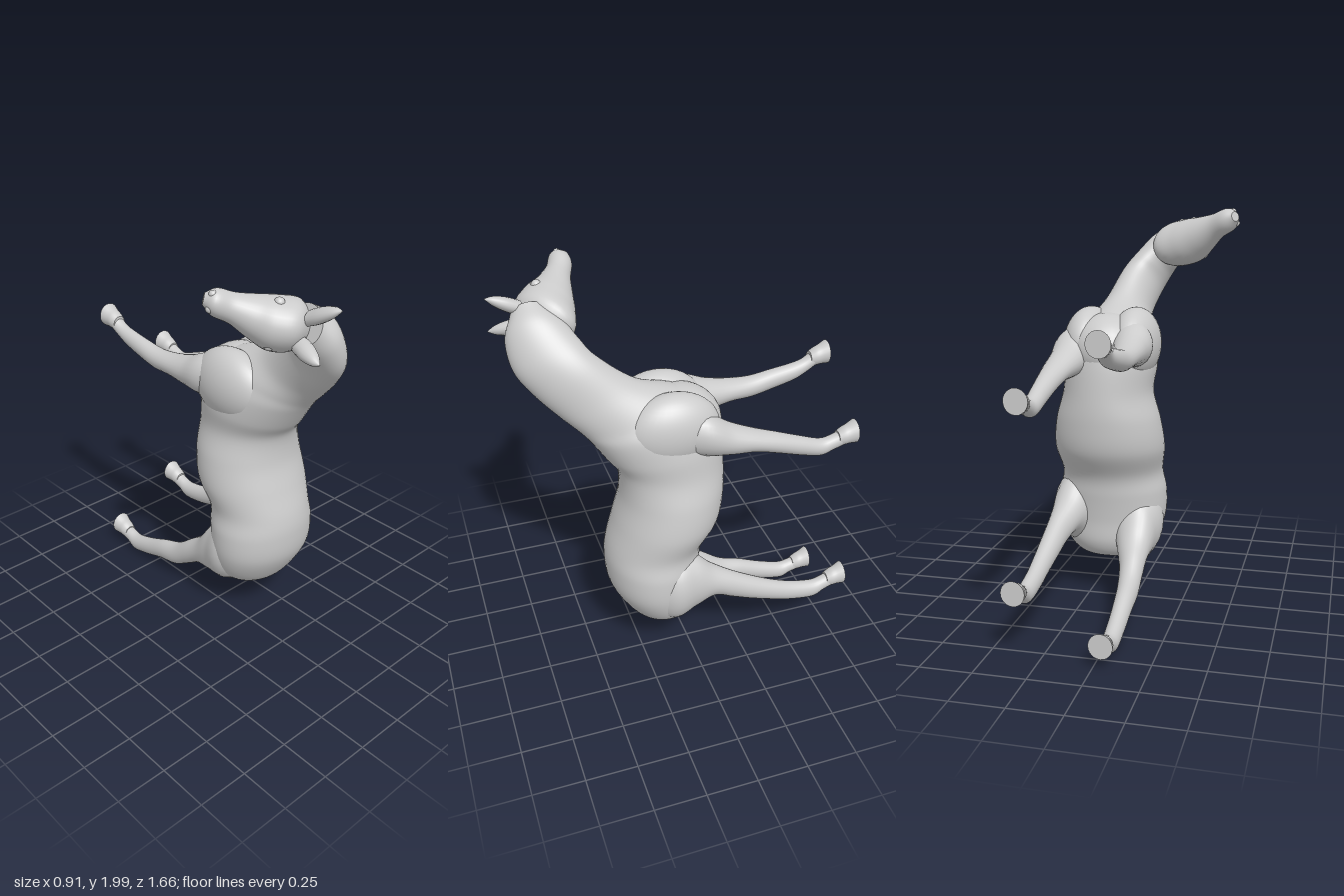
import * as THREE from 'three';

const material = new THREE.MeshStandardMaterial({ color: 0xcccccc });

// Smooth skin through elliptical sections [centre, half-axis U, half-axis V]
function loft(name, sections, sides = 32, steps = 7) {
  const [c, u, v] = [0, 1, 2].map((k) => new THREE.CatmullRomCurve3(
    sections.map((s) => new THREE.Vector3(...s[k])), false, 'catmullrom'));
  const rings = (sections.length - 1) * steps;
  const pos = [], index = [];
  const ring = (t) => {
    const C = c.getPoint(t), U = u.getPoint(t), V = v.getPoint(t);
    for (let j = 0; j < sides; j++) {
      const a = (j / sides) * Math.PI * 2;
      const p = C.clone().addScaledVector(U, Math.cos(a)).addScaledVector(V, Math.sin(a));
      pos.push(p.x, p.y, p.z);
    }
    return C;
  };
  const axis = c.getPoint(0.55).sub(c.getPoint(0.45));
  const flip = u.getPoint(0.5).cross(v.getPoint(0.5)).dot(axis) < 0;
  const tri = (a, b, d) => (flip ? index.push(a, d, b) : index.push(a, b, d));
  for (let i = 0; i <= rings; i++) ring(i / rings);
  for (let i = 0; i < rings; i++) {
    for (let j = 0; j < sides; j++) {
      const k = (j + 1) % sides, a = i * sides, b = a + sides;
      tri(a + j, a + k, b + j);
      tri(a + k, b + k, b + j);
    }
  }
  // End caps with their own vertices
  for (const t of [0, 1]) {
    const first = pos.length / 3;
    const C = ring(t);
    pos.push(C.x, C.y, C.z);
    for (let j = 0; j < sides; j++) {
      const k = (j + 1) % sides;
      if (t) tri(first + j, first + k, first + sides);
      else tri(first + k, first + j, first + sides);
    }
  }
  const geo = new THREE.BufferGeometry();
  geo.setAttribute('position', new THREE.Float32BufferAttribute(pos, 3));
  geo.setIndex(index);
  geo.computeVertexNormals();
  const mesh = new THREE.Mesh(geo, material);
  mesh.name = name;
  return mesh;
}

function ball(name, p, rx, ry = rx, rz = rx) {
  const mesh = new THREE.Mesh(new THREE.SphereGeometry(1, 32, 24), material);
  mesh.name = name;
  mesh.position.set(...p);
  mesh.scale.set(rx, ry, rz);
  return mesh;
}

// Mirrored pair of legs; rows: [z, offset from middle, half-width x, half-width y, left y, right y]
function legPair(name, middle, rows) {
  const pair = new THREE.Group();
  pair.name = name + 'Pair';
  for (const [label, s, col] of [['left', 1, 4], ['right', -1, 5]]) {
    const leg = new THREE.Group();
    leg.name = label + name;
    leg.add(loft('limb', rows.map((r) => [
      [middle + s * r[1], r[col], r[0]], [0, r[3], 0], [r[2], 0, 0]]), 24));
    // Flared hoof with a flat sole
    const end = rows[rows.length - 1];
    leg.add(loft('hoof', [[0, 0.037], [0.3, 0.046], [0.6, 0.05], [1, 0.06]].map(([t, r]) => [
      [middle + s * end[1], end[col] + 0.025 * t, -0.74 - 0.092 * t], [0, r, 0], [r * 0.95, 0, 0]]), 24));
    pair.add(leg);
  }
  return pair;
}

export function createModel() {
  const horse = new THREE.Group();
  horse.name = 'horse';

  // Rump and barrel: [y, belly z, back z, half-width]
  const trunk = [
    [0.2, 0.08, 0.18, 0.08],
    [0.225, -0.01, 0.26, 0.17],
    [0.3, -0.055, 0.325, 0.24],
    [0.42, -0.06, 0.388, 0.28],
    [0.55, -0.075, 0.405, 0.283],
    [0.66, -0.095, 0.395, 0.265],
    [0.8, -0.175, 0.355, 0.285],
    [0.95, -0.2, 0.318, 0.268],
    [1.09, -0.2, 0.325, 0.23],
  ].map(([y, belly, back, w]) => [
    [0.155, y, (belly + back) / 2], [0, 0, (back - belly) / 2], [w, 0, 0]]);
  // Chest and bent neck: [x, y, z, crest direction y z, sideways x y]
  const neck = [
    [0.145, 1.22, 0.1, -0.04, 0.285, 0.23, 0],
    [0.14, 1.335, 0.155, -0.05, 0.3, 0.21, 0],
    [0.135, 1.41, 0.25, -0.07, 0.25, 0.165, 0],
    [0.125, 1.485, 0.395, -0.07, 0.18, 0.12, 0.02],
    [0.09, 1.6, 0.53, -0.085, 0.14, 0.1, 0.04],
    [0.04, 1.69, 0.6, -0.06, 0.152, 0.085, 0.055],
    [-0.025, 1.775, 0.63, -0.02, 0.14, 0.06, 0.085],
    [-0.09, 1.83, 0.64, 0, 0.09, 0.03, 0.085],
  ].map(([x, y, z, uy, uz, vx, vy]) => [[x, y, z], [0, uy, uz], [vx, vy, 0]]);
  horse.add(loft('bodyAndNeck', [...trunk, ...neck], 48));

  // Head frame: crown direction and sideways direction
  const crown = new THREE.Vector3(-0.61, 0.19, 0.76).normalize();
  const side = new THREE.Vector3(0.3, 0.95, 0).normalize();
  const headPoint = (c, up, out) => new THREE.Vector3(...c)
    .addScaledVector(crown, up).addScaledVector(side, out).toArray();
  const head = new THREE.Group();
  head.name = 'head';
  // Skull from poll to muzzle: [x, y, z, half-depth, half-width]
  head.add(loft('skull', [
    [-0.03, 1.79, 0.61, 0.06, 0.05],
    [-0.09, 1.81, 0.575, 0.15, 0.113],
    [-0.18, 1.832, 0.533, 0.138, 0.118],
    [-0.25, 1.865, 0.49, 0.1, 0.095],
    [-0.33, 1.91, 0.45, 0.066, 0.066],
    [-0.4, 1.945, 0.42, 0.06, 0.058],
    [-0.435, 1.96, 0.392, 0.025, 0.025],
  ].map(([x, y, z, d, w]) => [[x, y, z],
    crown.clone().multiplyScalar(d).toArray(), side.clone().multiplyScalar(w).toArray()])));
  for (const [label, s] of [['right', 1], ['left', -1]]) {
    head.add(ball(label + 'Eye', headPoint([-0.18, 1.836, 0.535], 0.06, s * 0.09), 0.024));
    head.add(ball(label + 'Nostril', headPoint([-0.41, 1.95, 0.41], 0.028, s * 0.03), 0.018));
  }
  // Pointed ears
  for (const [label, base, tip] of [
    ['right', [-0.1, 1.87, 0.67], [-0.09, 1.94, 0.83]],
    ['left', [-0.15, 1.765, 0.66], [-0.195, 1.735, 0.82]],
  ]) {
    const a = new THREE.Vector3(...base), b = new THREE.Vector3(...tip);
    head.add(loft(label + 'Ear', [[0, 0.045], [0.4, 0.045], [0.75, 0.03], [1, 0.003]].map(([t, r]) => [
      a.clone().lerp(b, t).toArray(), [r * 0.9, r * 0.3, 0], [-r * 0.2, r * 0.75, 0]]), 16));
  }
  horse.add(head);

  // Breast and shoulder muscles
  horse.add(ball('breast', [0.145, 1.31, 0.02], 0.2, 0.18, 0.21));
  for (const [label, s] of [['left', 1], ['right', -1]]) {
    horse.add(ball(label + 'Shoulder', [0.135 + s * 0.117, 1.33, 0.08], 0.127, 0.185, 0.23));
  }

  // Legs, each in its own stride
  horse.add(legPair('Foreleg', 0.147, [
    [0.12, 0.11, 0.06, 0.09, 1.32, 1.35],
    [-0.05, 0.147, 0.1, 0.112, 1.31, 1.345],
    [-0.18, 0.16, 0.086, 0.08, 1.265, 1.33],
    [-0.3, 0.172, 0.069, 0.057, 1.238, 1.324],
    [-0.42, 0.178, 0.055, 0.053, 1.202, 1.32],
    [-0.54, 0.18, 0.046, 0.05, 1.162, 1.34],
    [-0.65, 0.179, 0.041, 0.044, 1.13, 1.363],
    [-0.71, 0.181, 0.037, 0.039, 1.143, 1.385],
    [-0.765, 0.183, 0.039, 0.04, 1.165, 1.42],
  ]));
  horse.add(legPair('HindLeg', 0.166, [
    [0.3, 0.1, 0.06, 0.09, 0.45, 0.42],
    [0.13, 0.15, 0.138, 0.19, 0.45, 0.405],
    [0, 0.163, 0.108, 0.16, 0.465, 0.355],
    [-0.1, 0.175, 0.08, 0.092, 0.45, 0.29],
    [-0.2, 0.19, 0.061, 0.078, 0.405, 0.225],
    [-0.3, 0.197, 0.054, 0.069, 0.36, 0.163],
    [-0.42, 0.202, 0.047, 0.059, 0.312, 0.131],
    [-0.54, 0.203, 0.043, 0.053, 0.273, 0.088],
    [-0.66, 0.203, 0.041, 0.048, 0.254, 0.056],
    [-0.72, 0.202, 0.037, 0.04, 0.273, 0.07],
    [-0.765, 0.201, 0.039, 0.04, 0.293, 0.085],
  ]));
  return horse;
}
